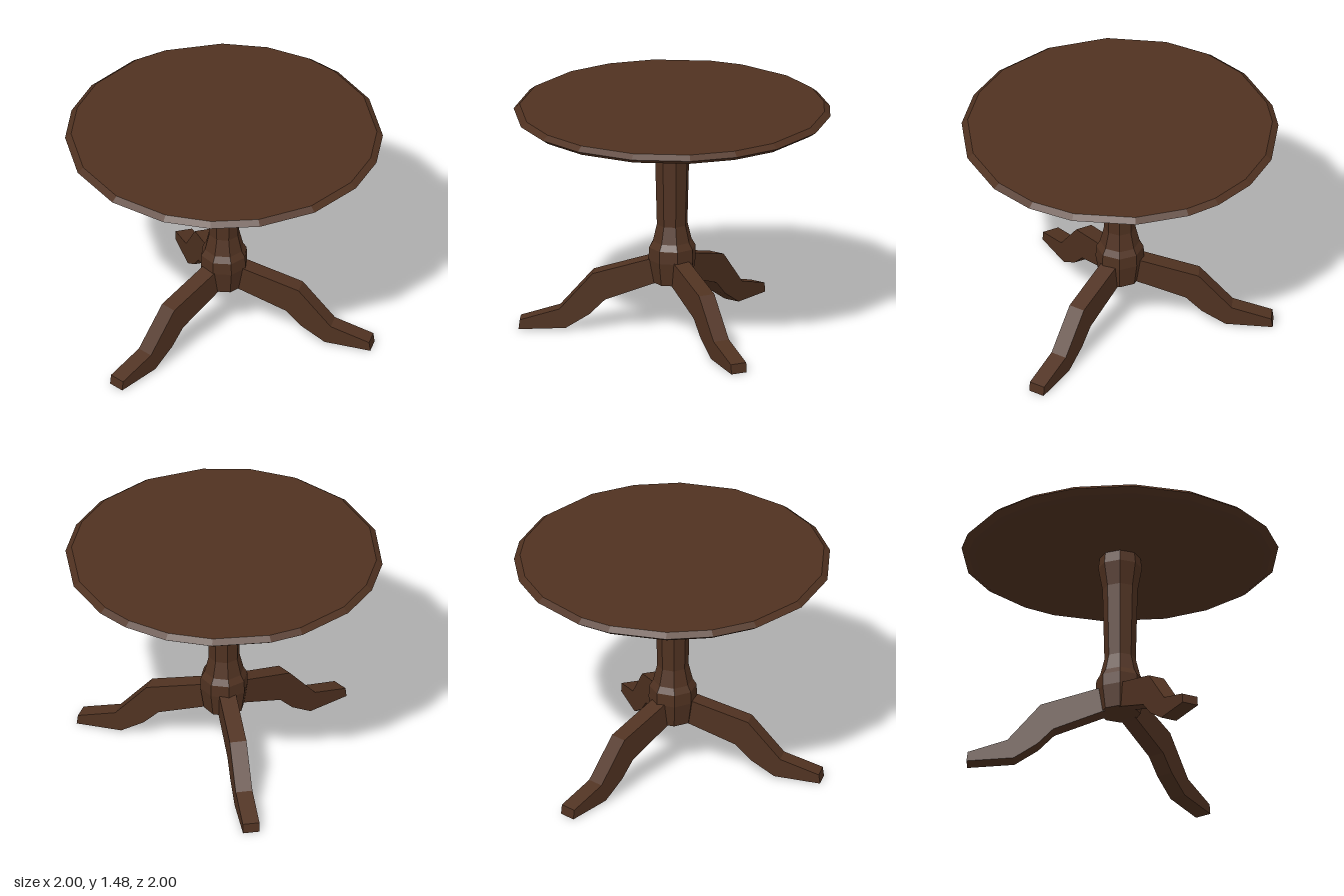
import * as THREE from 'three';

const wood = new THREE.MeshStandardMaterial({ color: 0x503221, flatShading: true });
const points = (list) => list.map(([x, y]) => new THREE.Vector2(x, y));

function add(group, geometry, name) {
  const mesh = new THREE.Mesh(geometry, wood);
  mesh.name = name;
  group.add(mesh);
  return mesh;
}

// Round top with a bevelled rim and slightly uneven, hand-cut corners
function tabletopGeometry() {
  const degrees = [0, 18, 39.7, 61, 78.5, 95.7, 119, 139, 151.7, 168.5,
    185.7, 207.3, 219.7, 241.4, 258.5, 275.7, 298, 320.3, 342.5, 360];
  const profile = points([[0, 1.41], [0.92, 1.41], [0.96, 1.42], [1.003, 1.45], [0.965, 1.48], [0, 1.483]]);
  const geometry = new THREE.LatheGeometry(profile, degrees.length - 1);
  const position = geometry.attributes.position;
  degrees.forEach((degree, i) => {
    const a = THREE.MathUtils.degToRad(degree);
    profile.forEach((p, j) => {
      position.setXYZ(i * profile.length + j, p.x * Math.sin(a), p.y, p.x * Math.cos(a));
    });
  });
  geometry.computeVertexNormals();
  return geometry;
}

// Eight-sided turned column, swelling at the top and above the legs
function columnGeometry() {
  const profile = points([[0, 0.33], [0.13, 0.33], [0.153, 0.48], [0.15, 0.56], [0.126, 0.6],
    [0.099, 0.71], [0.111, 1.19], [0.138, 1.34], [0.128, 1.42], [0, 1.42]]);
  return new THREE.LatheGeometry(profile, 8, Math.PI / 8);
}

// Side profile of a leg, running outward along +x
function legGeometry() {
  const width = 0.107;
  const shape = new THREE.Shape(points([[0.04, 0.34], [0.11, 0.325], [0.42, 0.21], [0.52, 0.11],
    [0.67, 0.015], [0.968, 0], [0.96, 0.062], [0.71, 0.14], [0.5, 0.38], [0.14, 0.485], [0.04, 0.485]]));
  return new THREE.ExtrudeGeometry(shape, { depth: width, bevelEnabled: false })
    .translate(0, 0, -width / 2);
}

export function createModel() {
  const table = new THREE.Group();
  table.name = 'pedestalTable';
  add(table, tabletopGeometry(), 'tabletop');
  add(table, columnGeometry(), 'column');

  // Three legs evenly spread around the column
  const leg = legGeometry();
  ['leftLeg', 'frontRightLeg', 'backRightLeg'].forEach((name, i) => {
    add(table, leg, name).rotation.y = -THREE.MathUtils.degToRad(9.7 + i * 120);
  });
  return table;
}
